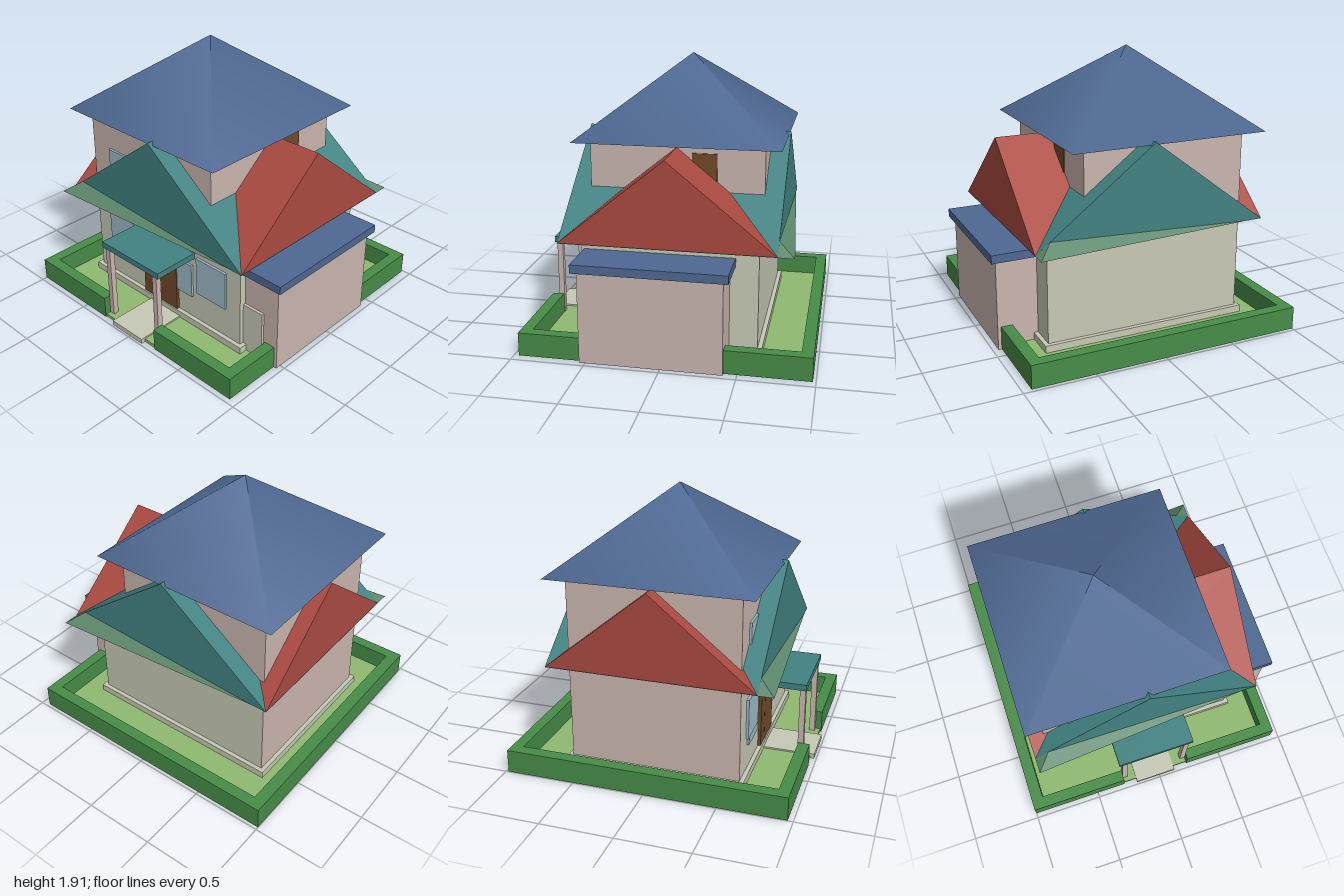
import * as THREE from 'three';
import { ConvexGeometry } from 'three/addons/geometries/ConvexGeometry.js';

function material(name, color) {
  const m = new THREE.MeshStandardMaterial({ color });
  m.name = name;
  return m;
}

export function createModel() {
  const house = new THREE.Group();
  house.name = 'house';

  const blue = material('blueRoof', 0x4e6892);
  const teal = material('tealRoof', 0x428282);
  const red = material('redRoof', 0xaa4a40);
  const pink = material('pinkWall', 0xcab6af);
  const beige = material('beigeWall', 0xc7c9b6);
  const glass = material('windowBlue', 0x9fbbc8);
  const brown = material('doorBrown', 0x70492a);
  const hedge = material('hedgeGreen', 0x478c48);
  const grass = material('grassGreen', 0x8fb970);
  const moss = material('eaveGreen', 0x5c876c);

  const add = (name, geometry, mat) => {
    const mesh = new THREE.Mesh(geometry, mat);
    mesh.name = name;
    house.add(mesh);
    return mesh;
  };
  // Box given by its limits on each axis
  const box = (name, mat, x0, x1, y0, y1, z0, z1) => {
    const mesh = add(name, new THREE.BoxGeometry(x1 - x0, y1 - y0, z1 - z0), mat);
    mesh.position.set((x0 + x1) / 2, (y0 + y1) / 2, (z0 + z1) / 2);
    return mesh;
  };
  // Triangular roof prism with its ridge along z
  const gable = (name, mat, width, height, length) => {
    const shape = new THREE.Shape([
      new THREE.Vector2(-width / 2, 0),
      new THREE.Vector2(width / 2, 0),
      new THREE.Vector2(0, height),
    ]);
    const geometry = new THREE.ExtrudeGeometry(shape, { depth: length, bevelEnabled: false });
    geometry.translate(0, 0, -length / 2);
    return add(name, geometry, mat);
  };

  // Garden: lawn, hedge with a front gap, step
  box('lawn', grass, -0.99, 0.93, 0.002, 0.025, -0.97, 0.955);
  box('hedgeBack', hedge, -1, 0.94, 0.003, 0.165, -0.98, -0.9);
  box('hedgeRight', hedge, -1, -0.915, 0.003, 0.165, -0.9, 0.885);
  box('hedgeLeft', hedge, 0.86, 0.94, 0.003, 0.165, -0.9, 0.885);
  box('hedgeFrontRight', hedge, -1, -0.285, 0.003, 0.165, 0.885, 0.965);
  box('hedgeFrontLeft', hedge, 0.23, 0.94, 0.003, 0.165, 0.885, 0.965);
  box('step', beige, -0.183, 0.123, 0, 0.036, 0.6, 0.985);

  // Walls
  box('plinth', beige, -0.79, 0.71, 0, 0.075, -0.63, 0.62);
  box('groundFloor', beige, -0.752, 0.68, 0.01, 0.765, -0.6, 0.59);
  box('sideWall', pink, -0.76, -0.752, 0.01, 0.765, -0.6, 0.59);
  box('upperFloor', pink, -0.76, 0.418, 0.765, 1.378, -0.6, 0.59);

  // Garage
  box('garage', pink, 0.66, 0.963, 0.001, 0.64, -0.41, 0.54);
  box('garageRoof', blue, 0.66, 1, 0.635, 0.693, -0.447, 0.572);
  box('garageDoor', beige, 0.68, 0.845, 0.026, 0.39, 0.53, 0.56);

  // Crossed gable roofs
  const frontGable = gable('frontGableRoof', teal, 1.67, 0.635, 1.445);
  frontGable.position.set(-0.03, 0.76, -0.005);
  const sideGable = gable('sideGableRoof', red, 1.44, 0.587, 1.67);
  sideGable.rotation.y = Math.PI / 2;
  sideGable.position.set(-0.03, 0.763, -0.005);

  // Slanting eaves, front and back, each a half turn of the other
  for (const side of [1, -1]) {
    const eave = add('slantingEave', new ConvexGeometry([
      new THREE.Vector3(-0.835, 0, 0.83),
      new THREE.Vector3(0.835, 0, 0.715),
      new THREE.Vector3(-0.73, 0.079, 0.718),
      new THREE.Vector3(-0.835, 0, 0.715),
    ]), moss);
    eave.position.set(-0.03, 0.76, -0.005);
    if (side < 0) eave.rotation.y = Math.PI;
  }

  // Pyramid roof on top
  const top = add('pyramidRoof',
    new THREE.ConeGeometry(0.705 * Math.SQRT2, 0.537, 4, 1, false, Math.PI / 4), blue);
  top.position.set(-0.167, 1.375 + 0.2685, -0.01);

  // Porch
  box('porchRoof', teal, -0.31, 0.255, 0.572, 0.616, 0.585, 0.928);
  for (const x of [-0.265, 0.21]) {
    box('porchPost', pink, x - 0.02, x + 0.02, 0.02, 0.575, 0.88, 0.92);
  }

  // Doors
  box('frontDoorSide', brown, -0.25, -0.145, 0.076, 0.477, 0.585, 0.611);
  box('frontDoor', brown, -0.145, 0.09, 0.076, 0.5, 0.585, 0.612);
  box('balconyDoor', brown, 0.41, 0.424, 0.9, 1.315, -0.28, -0.11);

  // Windows: x from, x to, y from, y to, front z
  const windows = [
    [-0.61, -0.34, 0.31, 0.595, 0.608],
    [-0.577, -0.33, 0.25, 0.51, 0.606],
    [-0.01, 0.237, 0.25, 0.51, 0.606],
    [0.285, 0.557, 0.31, 0.595, 0.608],
    [-0.577, -0.33, 0.86, 1.122, 0.606],
  ];
  for (const [x0, x1, y0, y1, z] of windows) box('window', glass, x0, x1, y0, y1, 0.585, z);

  return house;
}
